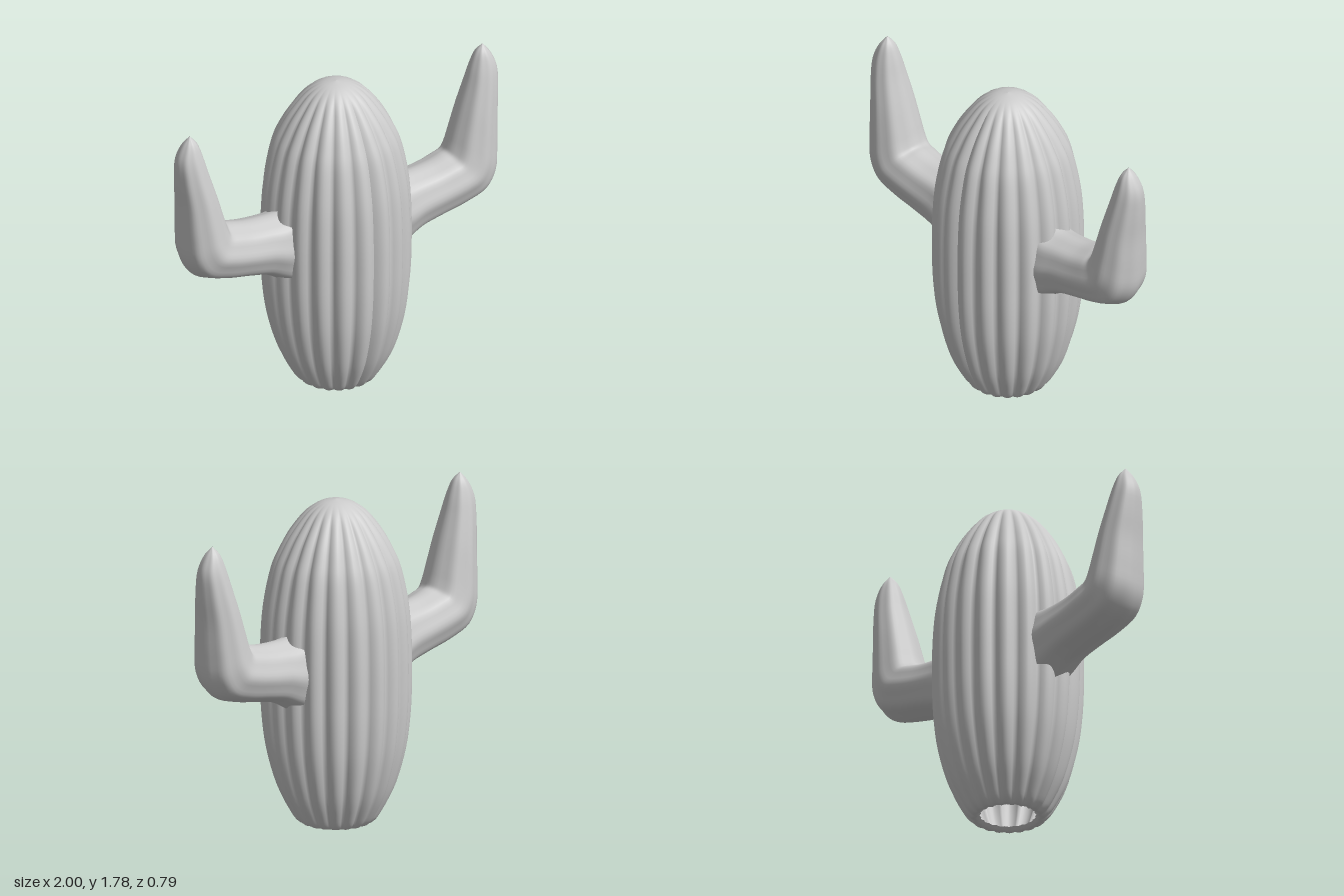
import * as THREE from 'three';

const material = new THREE.MeshStandardMaterial({ color: 0xcccccc, roughness: 0.8, side: THREE.DoubleSide });
const vec2 = ([x, y]) => new THREE.Vector2(x, y);

// Barrel-shaped trunk, open underneath, with scalloped vertical ribs
function createTrunk() {
  const ribs = 20;
  const profile = new THREE.SplineCurve([
    [0.15, 0.02], [0.175, 0], [0.205, 0.01], [0.245, 0.06], [0.315, 0.2], [0.37, 0.4], [0.395, 0.6],
    [0.402, 0.8], [0.4, 1.0], [0.385, 1.2], [0.345, 1.4], [0.295, 1.52], [0.235, 1.62],
    [0.16, 1.71], [0.08, 1.762], [0, 1.78],
  ].map(vec2)).getPoints(60);
  profile.forEach((p) => p.set(Math.max(p.x, 0), Math.max(p.y, 0)));
  const geometry = new THREE.LatheGeometry(profile, ribs * 8);
  const pos = geometry.attributes.position;
  for (let i = 0; i < pos.count; i++) {
    const x = pos.getX(i), z = pos.getZ(i);
    const groove = 1 - Math.abs(Math.sin(Math.atan2(x, z) * ribs / 2));
    // Ribs fade out towards the crown
    const depth = 0.08 * THREE.MathUtils.smoothstep(Math.hypot(x, z), 0.06, 0.22);
    const k = 1 - depth * groove;
    pos.setX(i, x * k);
    pos.setZ(i, z * k);
  }
  geometry.computeVertexNormals();
  const mesh = new THREE.Mesh(geometry, material);
  mesh.name = 'trunk';
  return mesh;
}

// Bent arm: each section spans from an inner to an outer edge point, with a half width in z
function createArm(name) {
  const sections = [
    // inner x, y    outer x, y    half width
    [0.34, 1.10, 0.34, 0.68, 0.165],
    [0.40, 1.09, 0.39, 0.71, 0.162],
    [0.47, 1.09, 0.47, 0.755, 0.155],
    [0.58, 1.10, 0.60, 0.79, 0.155],
    [0.66, 1.12, 0.76, 0.825, 0.16],
    [0.695, 1.13, 0.90, 0.88, 0.162],
    [0.71, 1.16, 0.965, 0.98, 0.158],
    [0.735, 1.24, 0.98, 1.12, 0.145],
    [0.775, 1.37, 0.985, 1.30, 0.125],
    [0.82, 1.51, 0.997, 1.47, 0.098],
    [0.85, 1.61, 0.995, 1.59, 0.072],
    [0.88, 1.68, 0.96, 1.67, 0.042],
    [0.917, 1.72, 0.92, 1.72, 0.002],
  ];
  const inner = new THREE.CatmullRomCurve3(sections.map((s) => new THREE.Vector3(s[0], s[1], s[4])));
  const outer = new THREE.CatmullRomCurve3(sections.map((s) => new THREE.Vector3(s[2], s[3], s[4])));
  const rings = 48, sides = 48;
  const positions = [], index = [];
  for (let i = 0; i <= rings; i++) {
    const a = inner.getPoint(i / rings), b = outer.getPoint(i / rings);
    for (let j = 0; j < sides; j++) {
      const t = j / sides * Math.PI * 2;
      // Soft shallow ribs run along the arm
      const rib = 1 - 0.025 * (1 - Math.cos(t * 8));
      const s = (1 - Math.cos(t) * rib) / 2;
      const z = Math.sign(Math.sin(t)) * Math.pow(Math.abs(Math.sin(t)), 0.9) * rib * a.z;
      positions.push(a.x + (b.x - a.x) * s, a.y + (b.y - a.y) * s, z);
      if (i < rings) {
        const p = i * sides + j, q = i * sides + (j + 1) % sides;
        index.push(p, q, p + sides, q, q + sides, p + sides);
      }
    }
  }
  const geometry = new THREE.BufferGeometry();
  geometry.setAttribute('position', new THREE.Float32BufferAttribute(positions, 3));
  geometry.setIndex(index);
  geometry.computeVertexNormals();
  const mesh = new THREE.Mesh(geometry, material);
  mesh.name = name;
  return mesh;
}

export function createModel() {
  const cactus = new THREE.Group();
  cactus.name = 'cactus';
  const leftArm = createArm('leftArm');
  const rightArm = createArm('rightArm');
  rightArm.rotation.y = Math.PI;
  cactus.add(createTrunk(), leftArm, rightArm);
  return cactus;
}
